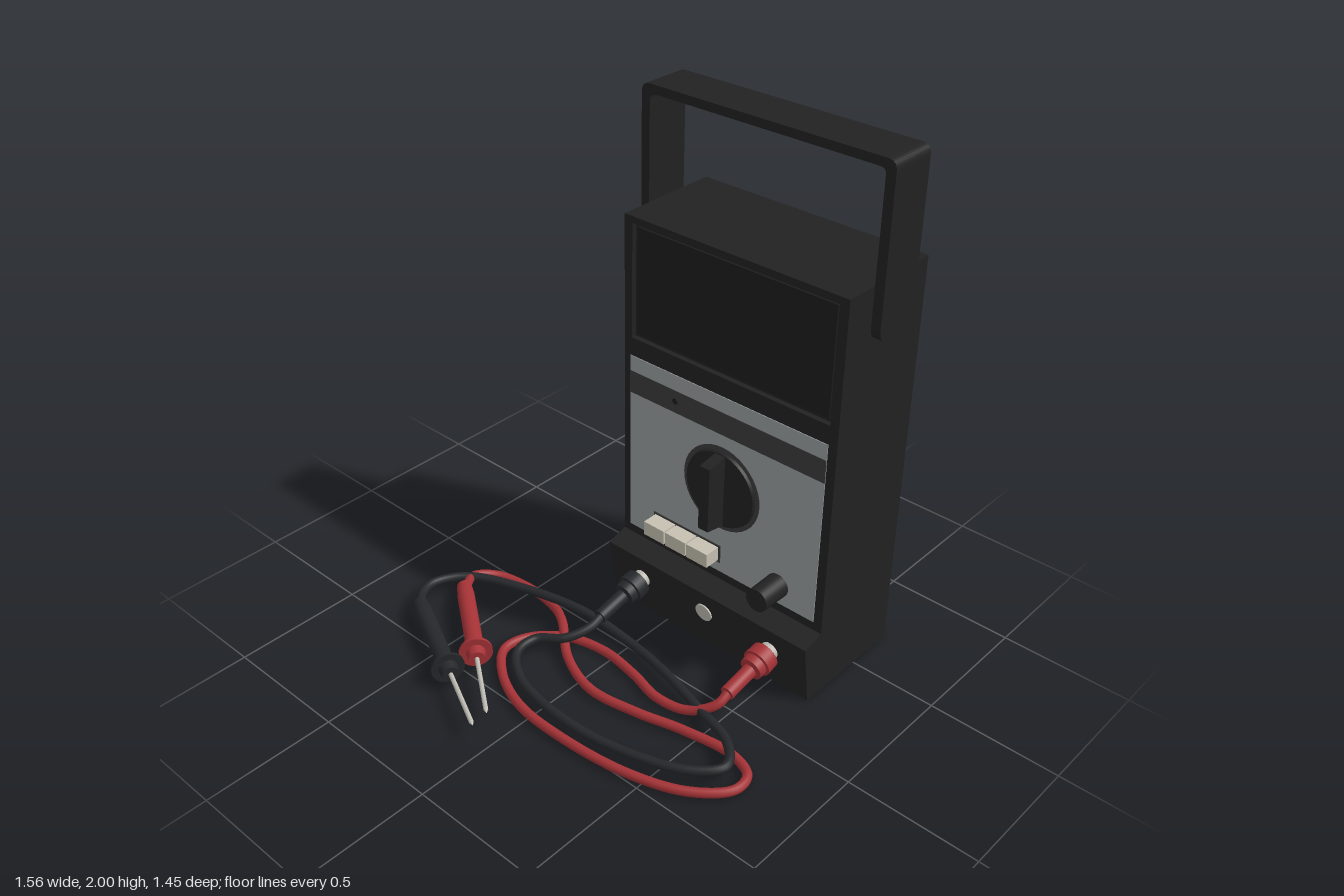
import * as THREE from 'three';

const mat = (name, color, side = THREE.FrontSide) => {
  const m = new THREE.MeshStandardMaterial({ color, side });
  m.name = name;
  return m;
};
const V = (x, y, z) => new THREE.Vector3(x, y, z);

export function createModel() {
  const black = mat('black plastic', 0x222222);
  const glass = mat('dark display', 0x1c1c1c);
  const grey = mat('grey panel', 0x989da0);
  const stripe = mat('charcoal print', 0x3b3b3b);
  const cream = mat('cream button', 0xc6c0b0);
  const red = mat('red rubber', 0xa43236);
  const rubber = mat('black rubber', 0x25272a);
  const metal = mat('metal', 0xbdbab2);
  const foot = mat('foot grey', 0x333536);

  const model = new THREE.Group();
  const CX = 0.195;   // middle of the case
  const FRONT = -0.275;
  const BACK = -0.7;

  const add = (name, geo, material, x = 0, y = 0, z = 0) => {
    const m = new THREE.Mesh(geo, material);
    m.name = name;
    m.position.set(x, y, z);
    model.add(m);
    return m;
  };
  // box from its minimum and maximum corners
  const box = (name, a, b, material) => add(name,
    new THREE.BoxGeometry(b[0] - a[0], b[1] - a[1], b[2] - a[2]), material,
    (a[0] + b[0]) / 2, (a[1] + b[1]) / 2, (a[2] + b[2]) / 2);
  // cylinder whose axis runs along z, from z0 to z1
  const disc = (name, x, y, z0, z1, r0, r1, material) => add(name,
    new THREE.CylinderGeometry(r1, r0, z1 - z0, 40).rotateX(Math.PI / 2), material, x, y, (z0 + z1) / 2);
  const rect = (S, x0, y0, x1, y1) => {
    const s = new S();
    s.moveTo(x0, y0); s.lineTo(x1, y0); s.lineTo(x1, y1); s.lineTo(x0, y1); s.closePath();
    return s;
  };
  const extrude = (shape, depth) =>
    new THREE.ExtrudeGeometry(shape, { depth, bevelEnabled: false, curveSegments: 8 });
  // side profile given as (-z, y), swept along x
  const extrudeX = (shape, depth) => extrude(shape, depth).rotateY(Math.PI / 2);
  // turned part with profile [radius, distance], pointing from a along dir
  const turned = (name, profile, a, dir, material) => {
    const pts = [];
    profile.forEach(([r, d], i) => {
      pts.push(new THREE.Vector2(r, d));
      if (i > 0 && i < profile.length - 1) pts.push(new THREE.Vector2(r, d)); // crisp edges
    });
    const m = add(name, new THREE.LatheGeometry(pts, 28), material, a.x, a.y, a.z);
    m.quaternion.setFromUnitVectors(V(0, 1, 0), dir);
    return m;
  };

  // case with a recessed display opening
  box('case', [-0.27, 0, BACK], [0.66, 1.58, FRONT - 0.02], black);
  const face = rect(THREE.Shape, -0.27, 0, 0.66, 1.58);
  face.holes.push(rect(THREE.Path, -0.235, 1.115, 0.625, 1.555));
  add('caseFront', extrude(face, 0.02), black, 0, 0, FRONT - 0.02);
  box('displayWindow', [-0.22, 1.13, FRONT - 0.02], [0.61, 1.54, FRONT - 0.012], glass);

  // sloping socket block at the foot of the case
  const block = new THREE.Shape();
  block.moveTo(0.223, 0); block.lineTo(0.29, 0); block.lineTo(0.29, 0.272);
  block.lineTo(0.275, 0.272); block.lineTo(0.187, 0.25); block.closePath();
  add('socketBlock', extrudeX(block, 0.93), black, -0.27, 0, 0);

  // carrying handle: U-shaped strap and rounded leg ends
  const x0 = -0.308, x1 = 0.698, t = 0.036, yb = 1.44, R = 0.035;
  const u = new THREE.Shape();
  u.moveTo(x0, yb); u.lineTo(x0 + t, yb); u.lineTo(x0 + t, 1.945);
  u.quadraticCurveTo(x0 + t, 1.968, x0 + t + 0.022, 1.968);
  u.lineTo(x1 - t - 0.022, 1.968);
  u.quadraticCurveTo(x1 - t, 1.968, x1 - t, 1.945);
  u.lineTo(x1 - t, yb); u.lineTo(x1, yb); u.lineTo(x1, 2 - R);
  u.quadraticCurveTo(x1, 2, x1 - R, 2); u.lineTo(x0 + R, 2);
  u.quadraticCurveTo(x0, 2, x0, 2 - R); u.closePath();
  add('handle', extrude(u, 0.18), black, 0, 0, -0.58);
  const end = new THREE.Shape();
  end.moveTo(0.4, yb); end.quadraticCurveTo(0.4, 1.385, 0.45, 1.385);
  end.lineTo(0.53, 1.385); end.quadraticCurveTo(0.58, 1.385, 0.58, yb); end.closePath();
  for (const x of [x0, x1 - t]) add('handleEnd', extrudeX(end, t), black, x, 0, 0);

  // front panel with printed band
  box('frontPanel', [-0.24, 0.308, FRONT], [0.625, 1.043, FRONT + 0.003], grey);
  box('printedBand', [-0.24, 0.893, FRONT], [0.625, 0.982, FRONT + 0.005], stripe);
  disc('bandDot', -0.025, 0.94, FRONT, FRONT + 0.007, 0.012, 0.012, glass);

  // range selector
  disc('dialPrint', CX, 0.672, FRONT, FRONT + 0.005, 0.171, 0.171, stripe);
  disc('dial', CX, 0.672, FRONT, FRONT + 0.016, 0.155, 0.15, black);
  const grip = new THREE.Shape();
  grip.moveTo(0.27, 0.525); grip.lineTo(0.27, 0.819);
  grip.lineTo(0.176, 0.805); grip.lineTo(0.176, 0.542); grip.closePath();
  add('dialGrip', extrudeX(grip, 0.044), black, CX - 0.022, 0, 0);

  // push buttons in a dark surround, and the adjusting knob
  box('buttonSurround', [-0.118, 0.348, FRONT], [0.203, 0.422, FRONT + 0.006], stripe);
  for (let i = 0; i < 3; i++) {
    const x = -0.109 + i * 0.103;
    box('pushButton', [x, 0.357, FRONT], [x + 0.097, 0.414, -0.205], cream);
  }
  disc('adjustKnob', 0.463, 0.385, FRONT, -0.153, 0.047, 0.045, black);

  // round plate on the socket block, parallel to its sloping face
  const out = V(0, -0.143, 0.99).normalize();
  turned('plateDot', [[0.037, 0], [0.037, 0.006], [0, 0.006]], V(CX, 0.157, -0.2), out, metal);

  // back plate with one notched corner, and feet
  const back = new THREE.Shape();
  back.moveTo(-0.262, 0.008); back.lineTo(0.652, 0.008); back.lineTo(0.652, 1.572);
  back.lineTo(-0.18, 1.572); back.lineTo(-0.18, 1.525); back.lineTo(-0.262, 1.525); back.closePath();
  add('backPlate', extrude(back, 0.006), grey, 0, 0, BACK - 0.005);
  for (const x of [-0.122, 0.512]) for (const y of [0.145, 1.445]) {
    turned('foot', [[0.053, 0], [0.053, 0.012], [0.034, 0.027], [0, 0.027]], V(x, y, BACK), V(0, 0, -1), foot);
  }

  // cable paths as x, y, z from plug to probe
  const redPath = [
    [0.5, 0.108, 0.02], [0.49, 0.075, 0.075], [0.4, 0.03, 0.13], [0.27, 0.02, 0.145], [0.13, 0.018, 0.11],
    [-0.04, 0.018, 0.09], [-0.2, 0.018, 0.13], [-0.3, 0.018, 0.23], [-0.315, 0.018, 0.33],
    [-0.22, 0.018, 0.43], [-0.06, 0.018, 0.5], [0.15, 0.018, 0.515], [0.44, 0.018, 0.485],
    [0.645, 0.018, 0.41], [0.755, 0.018, 0.3], [0.745, 0.018, 0.22], [0.645, 0.018, 0.18],
    [0.44, 0.018, 0.205], [0.27, 0.02, 0.25], [0.07, 0.022, 0.275], [-0.1, 0.03, 0.215],
    [-0.245, 0.052, 0.1], [-0.37, 0.025, 0.035], [-0.51, 0.02, 0.02], [-0.64, 0.03, 0.055],
    [-0.69, 0.05, 0.135], [-0.64, 0.067, 0.23]];
  const blackPath = [
    [-0.11, 0.108, 0.02], [-0.11, 0.088, 0.09], [-0.155, 0.065, 0.175], [-0.245, 0.05, 0.24],
    [-0.245, 0.045, 0.33], [-0.14, 0.035, 0.415], [0.11, 0.03, 0.455], [0.355, 0.035, 0.435],
    [0.605, 0.05, 0.36], [0.69, 0.057, 0.27], [0.625, 0.055, 0.18], [0.44, 0.045, 0.11],
    [0.23, 0.045, 0.05], [0.025, 0.04, 0.01], [-0.225, 0.055, 0.01], [-0.51, 0.056, 0.075],
    [-0.7, 0.056, 0.165], [-0.765, 0.058, 0.28], [-0.74, 0.062, 0.36], [-0.685, 0.067, 0.41]];

  // test lead: socket ring, plug, cable, probe and needle
  const lead = (name, x, path, probeStart, probeTip, material) => {
    const d = V(0, -0.2, 0.98).normalize();
    const s = V(x, 0.155, -0.205);
    turned(name + 'Socket', [[0.035, 0], [0.035, 0.045], [0, 0.045]], s, d, metal);
    turned(name + 'Plug', [[0, 0.03], [0.054, 0.03], [0.056, 0.08], [0.047, 0.083], [0.045, 0.113],
      [0.027, 0.118], [0.027, 0.245], [0, 0.245]], s, d, material);
    const curve = new THREE.CatmullRomCurve3(path.map(p => V(...p)));
    add(name + 'Cable', new THREE.TubeGeometry(curve, 260, 0.0175, 12), material);
    const dir = probeTip.clone().sub(probeStart);
    const len = dir.length();
    dir.normalize();
    turned(name + 'Probe', [[0, -0.01], [0.028, -0.01], [0.033, 0.05], [0.033, 0.345], [0.041, 0.35],
      [0.041, 0.378], [0.062, 0.378], [0.062, 0.39], [0.036, 0.39], [0.03, 0.425], [0, 0.425]],
    probeStart, dir, material);
    turned(name + 'Needle', [[0.0085, 0.42], [0.0085, len - 0.02], [0, len]], probeStart, dir, metal);
  };
  lead('red', 0.5, redPath, V(-0.645, 0.067, 0.228), V(-0.065, 0.075, 0.648), red);
  lead('black', -0.11, blackPath, V(-0.69, 0.067, 0.41), V(-0.055, 0.075, 0.72), rubber);

  return model;
}
